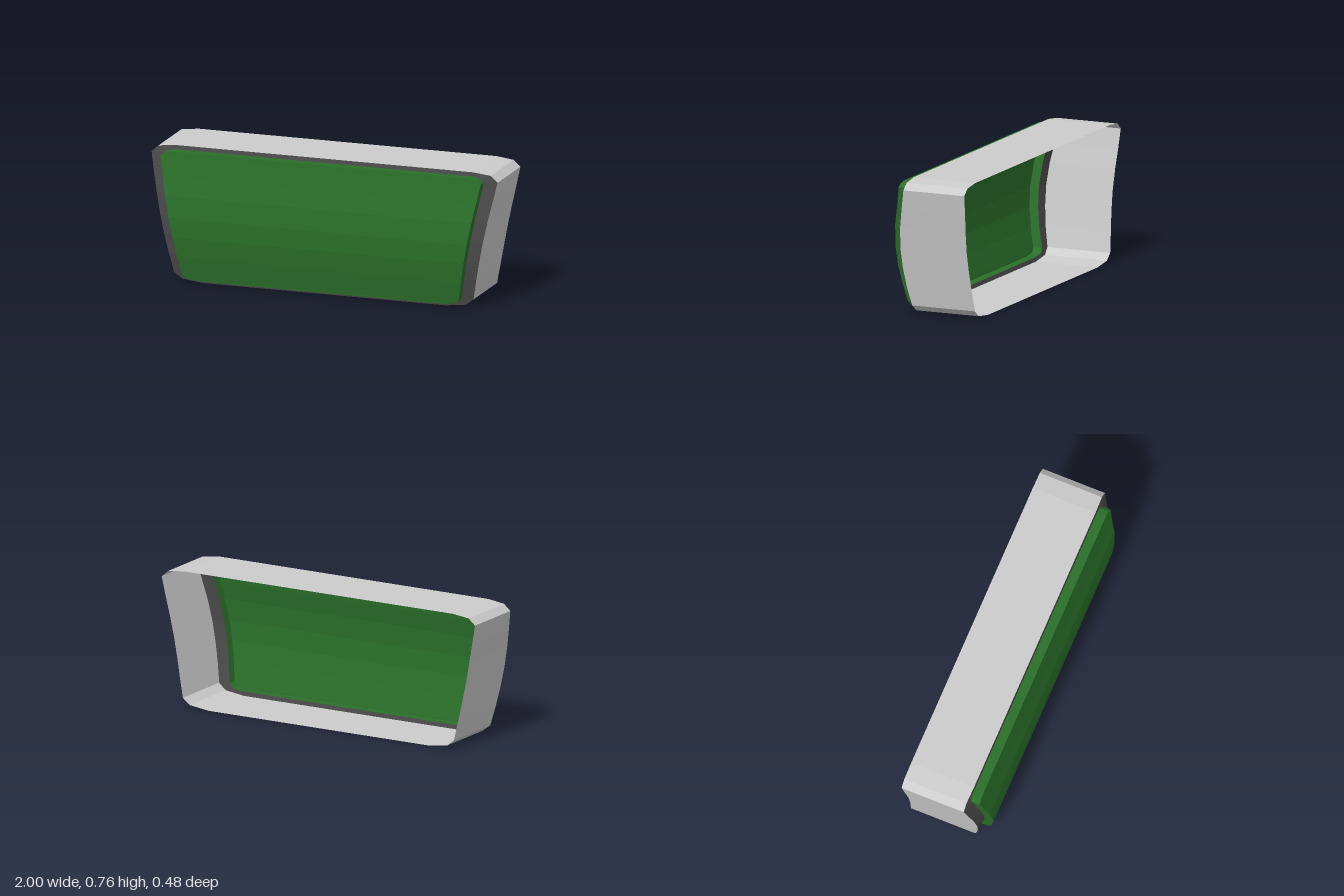
import * as THREE from 'three';

// Rows from bottom to top.
// Housing: [y, half width, front z, back z]
const HOUSING = [
  [0, 0.70, 0.13, -0.24], [0.015, 0.82, 0.132, -0.24], [0.05, 0.865, 0.138, -0.239],
  [0.16, 0.888, 0.16, -0.232], [0.27, 0.91, 0.173, -0.225], [0.38, 0.932, 0.177, -0.222],
  [0.5, 0.956, 0.167, -0.226], [0.6, 0.977, 0.149, -0.233], [0.715, 1, 0.127, -0.239],
  [0.75, 0.96, 0.126, -0.24], [0.762, 0.86, 0.13, -0.24],
];
// Panel: [y, half width, face z]
const PANEL = [
  [0.023, 0.70, 0.187], [0.031, 0.775, 0.188], [0.055, 0.80, 0.193],
  [0.16, 0.82, 0.217], [0.27, 0.841, 0.235], [0.38, 0.862, 0.24],
  [0.5, 0.885, 0.23], [0.6, 0.904, 0.21], [0.712, 0.925, 0.191],
  [0.732, 0.905, 0.188], [0.74, 0.86, 0.187],
];
const PANEL_DEPTH = 0.052;

// Closed ring, counter-clockwise from the front: up the +x side, down the -x side
function ring(rows, zOf) {
  const right = rows.map((r) => [r[1], r[0], zOf(r)]);
  const left = right.map(([x, y, z]) => [-x, y, z]).reverse();
  return [...right, ...left];
}

function quad(out, a, b, c, d) {
  out.push(...a, ...b, ...c, ...a, ...c, ...d);
}

// Surface between two matching rings
function band(a, b) {
  const out = [];
  a.forEach((p, i) => {
    const j = (i + 1) % a.length;
    quad(out, p, a[j], b[j], b[i]);
  });
  return out;
}

// Horizontal strips filling a ring
function fill(r) {
  const out = [];
  const n = r.length;
  for (let i = 0; i < n / 2 - 1; i++) quad(out, r[n - 1 - i], r[i], r[i + 1], r[n - 2 - i]);
  return out;
}

function part(name, positions, color) {
  const geometry = new THREE.BufferGeometry();
  geometry.setAttribute('position', new THREE.Float32BufferAttribute(positions, 3));
  geometry.computeVertexNormals();
  const material = new THREE.MeshStandardMaterial({ color, flatShading: true, side: THREE.DoubleSide });
  const mesh = new THREE.Mesh(geometry, material);
  mesh.name = name;
  return mesh;
}

export function createModel() {
  const group = new THREE.Group();
  group.name = 'curvedPanelHousing';

  const back = ring(HOUSING, (r) => r[3]);
  const front = ring(HOUSING, (r) => r[2]);
  const panelBase = ring(PANEL, (r) => r[2] - PANEL_DEPTH);
  const panelFace = ring(PANEL, (r) => r[2]);

  group.add(
    part('housingWall', band(back, front), 0xcccccc), // open at the back
    part('bezel', band(front, panelBase), 0x4a4a4a),
    part('panelRim', band(panelBase, panelFace), 0x2a702a),
    part('panelFace', fill(panelFace), 0x2a702a),
  );
  return group;
}
